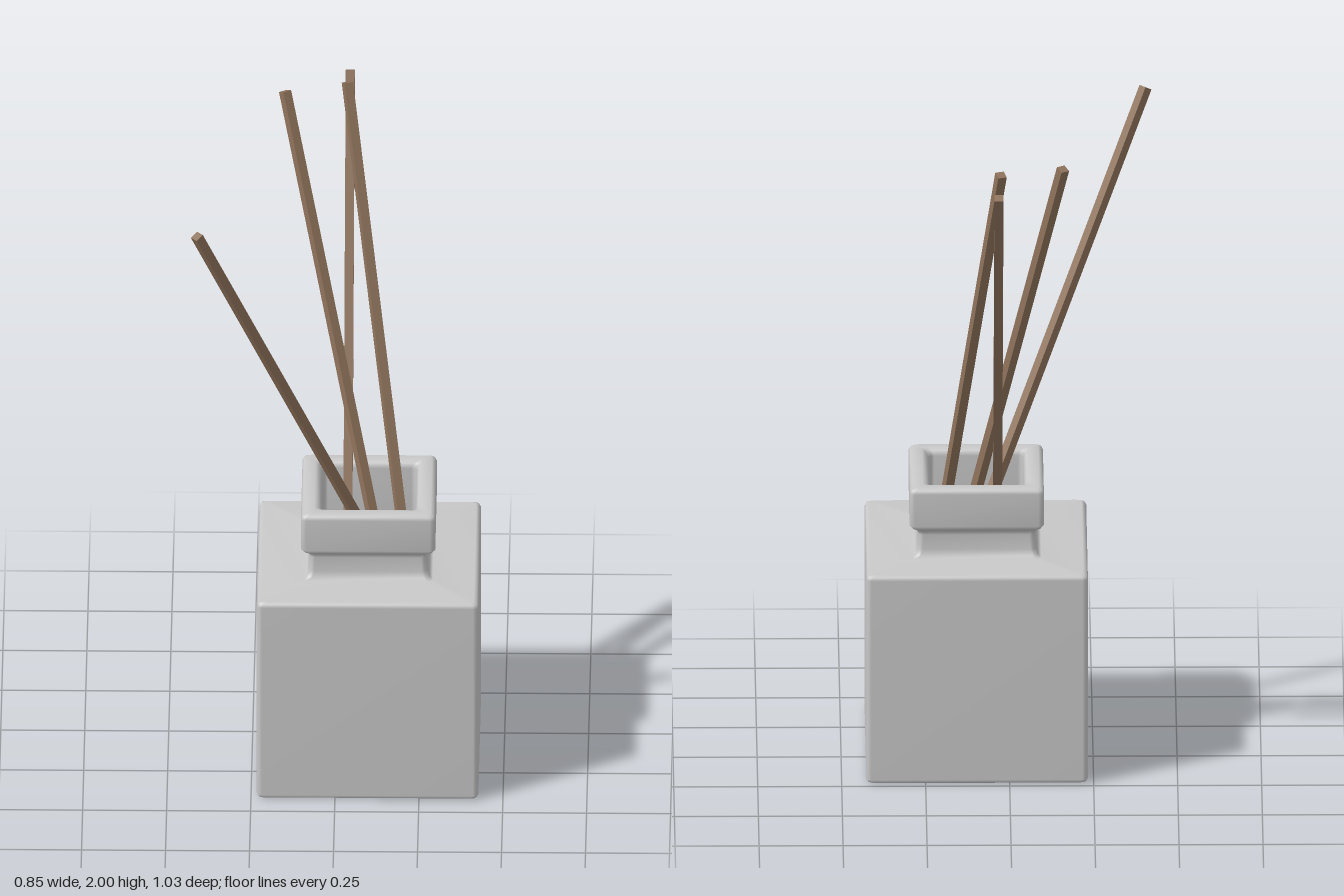
import * as THREE from 'three';

// Rounded square ring in the xz plane
function ring(half, y, radius) {
  const points = [], segs = 3, r = Math.min(radius, half * 0.5);
  for (let c = 0; c < 4; c++) {
    const start = c * Math.PI / 2;
    const cx = (c === 0 || c === 3 ? 1 : -1) * (half - r);
    const cz = (c < 2 ? 1 : -1) * (half - r);
    for (let i = 0; i <= segs; i++) {
      const a = start + i / segs * Math.PI / 2;
      points.push([cx + r * Math.cos(a), y, cz + r * Math.sin(a)]);
    }
  }
  return points;
}

// Skin a profile of [half width, height] with square rings, closing both ends
function squareLathe(profile, radius) {
  const positions = [], index = [], n = 16;
  for (const [half, y] of profile) {
    for (const p of ring(half, y, radius)) positions.push(...p);
  }
  for (let k = 0; k < profile.length - 1; k++) {
    for (let i = 0; i < n; i++) {
      const j = (i + 1) % n;
      const a = k * n + i, b = k * n + j, c = a + n, d = b + n;
      index.push(a, c, b, b, c, d);
    }
  }
  const last = (profile.length - 1) * n;
  for (let i = 1; i < n - 1; i++) {
    index.push(0, i, i + 1); // underside
    index.push(last, last + i + 1, last + i); // inner floor
  }
  const geometry = new THREE.BufferGeometry();
  geometry.setAttribute('position', new THREE.Float32BufferAttribute(positions, 3));
  geometry.setIndex(index);
  geometry.computeVertexNormals();
  return geometry;
}

// Square rod between two points, with two faces kept upright
function reed(top, bottom, size, material) {
  const a = new THREE.Vector3(...bottom), b = new THREE.Vector3(...top);
  const along = b.clone().sub(a);
  const mesh = new THREE.Mesh(new THREE.BoxGeometry(size, along.length(), size), material);
  along.normalize();
  const side = along.clone().cross(new THREE.Vector3(0, 1, 0)).normalize();
  const out = side.clone().cross(along);
  mesh.quaternion.setFromRotationMatrix(new THREE.Matrix4().makeBasis(side, along, out));
  mesh.position.copy(a).add(b).multiplyScalar(0.5);
  return mesh;
}

export function createModel() {
  const model = new THREE.Group();
  const glass = new THREE.MeshStandardMaterial({ color: 0xc8c8c8 });
  glass.name = 'pale grey';
  const wood = new THREE.MeshStandardMaterial({ color: 0x8f735c });
  wood.name = 'brown wood';

  // Hollow bottle: outside from the base up, over the rim, then down the inside
  const profile = [
    [0.317, 0], [0.325, 0.004], [0.33, 0.014],
    [0.33, 0.646], [0.326, 0.656], [0.316, 0.661],
    [0.192, 0.664], [0.182, 0.672], [0.176, 0.69],
    [0.174, 0.735], [0.177, 0.747], [0.192, 0.758], [0.2, 0.77],
    [0.2, 0.872], [0.196, 0.882], [0.186, 0.888],
    [0.16, 0.888], [0.148, 0.882], [0.14, 0.868],
    [0.14, 0.65], [0.15, 0.632], [0.285, 0.628], [0.298, 0.615],
    [0.298, 0.05], [0.285, 0.035],
  ];
  const bottle = new THREE.Mesh(squareLathe(profile, 0.016), glass);
  bottle.name = 'bottle';
  bottle.position.set(0.097, 0, 0.095);
  model.add(bottle);

  // Reeds leaning out of the neck: [top, bottom]
  const reeds = new THREE.Group();
  reeds.name = 'reeds';
  const ends = [
    [[0.034, 1.966, -0.507], [0.034, 0.06, 0.375]],
    [[-0.158, 1.99, -0.326], [0.265, 0.06, 0.33]],
    [[0.027, 1.992, -0.38], [0.288, 0.06, 0.322]],
    [[-0.41, 1.94, 0.497], [0.352, 0.06, -0.16]],
  ];
  ends.forEach(([top, bottom], i) => {
    const rod = reed(top, bottom, 0.027, wood);
    rod.name = 'reed' + (i + 1);
    reeds.add(rod);
  });
  model.add(reeds);
  return model;
}
